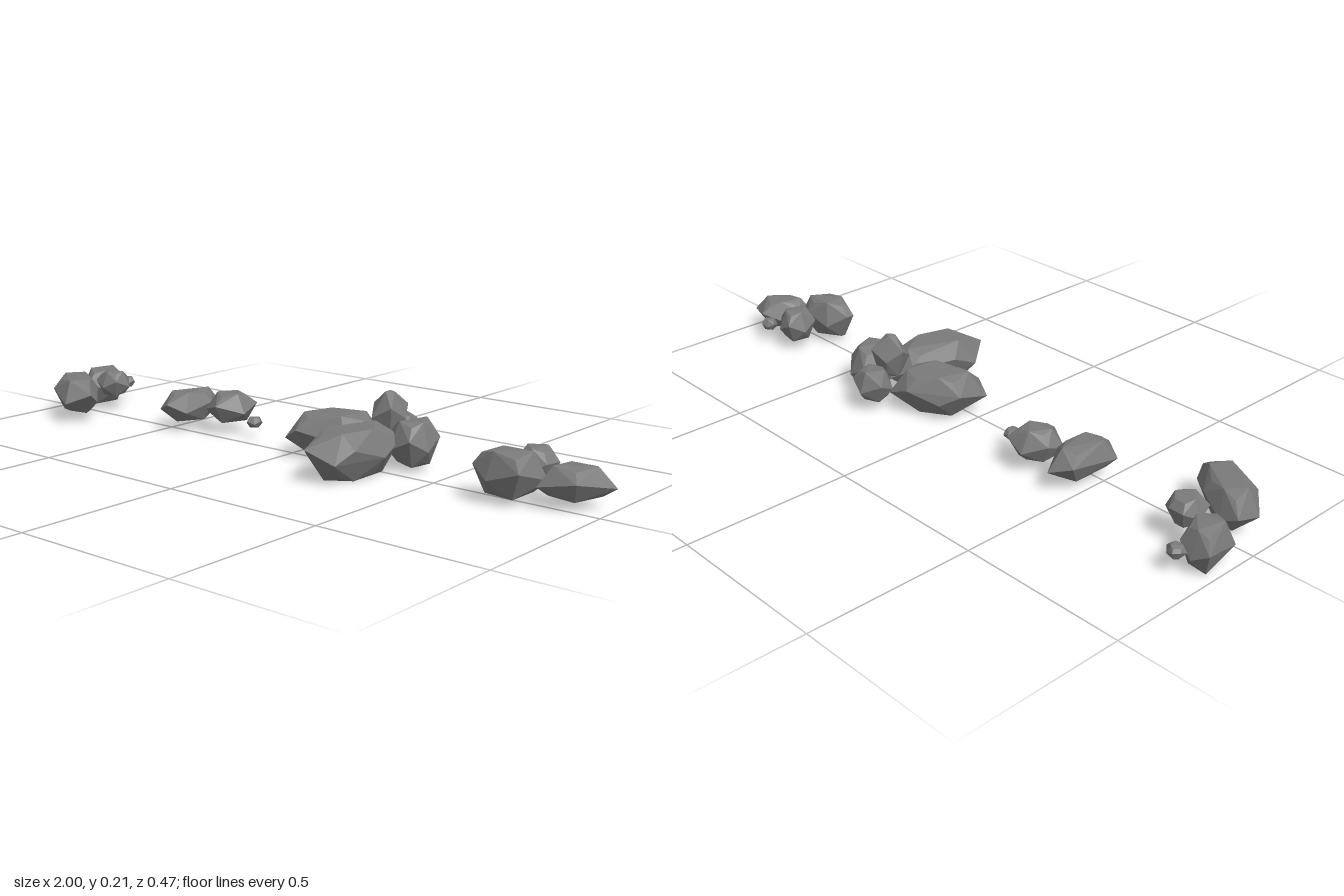
import * as THREE from 'three';
import { ConvexGeometry } from 'three/addons/geometries/ConvexGeometry.js';

const stone = new THREE.MeshStandardMaterial({ color: 0x7a7a7a, flatShading: true });

// Faceted boulder: a zigzag girdle along the plan outline, with smaller crown and base rings.
function rock(name, outline, bottom, top, crown = 0.6, base = 0.6, girdle = 0.5) {
  const n = outline.length, h = top - bottom;
  const cx = outline.reduce((s, p) => s + p[0], 0) / n;
  const cz = outline.reduce((s, p) => s + p[1], 0) / n;
  const points = [];
  outline.forEach(([x, z], i) => {
    const odd = i % 2;
    const ring = (scale, level) => points.push(new THREE.Vector3(
      cx + (x - cx) * scale, bottom + h * level, cz + (z - cz) * scale));
    ring(1, girdle + (odd ? -0.13 : 0.13));
    ring(odd ? crown : crown * 1.12, odd ? 1 : 0.9);
    ring(odd ? base * 1.12 : base, odd ? 0.1 : 0);
  });
  const mesh = new THREE.Mesh(new ConvexGeometry(points), stone);
  mesh.name = name;
  return mesh;
}

// Small roundish stone with a slightly uneven seven-sided outline.
function pebble(name, x, z, r, bottom, top) {
  const outline = [];
  for (let i = 0; i < 7; i++) {
    const a = (i / 7) * Math.PI * 2 + x * 9;
    const k = r * (1 + 0.06 * Math.sin(i * 2.4 + z * 20));
    outline.push([x + Math.cos(a) * k, z + Math.sin(a) * k]);
  }
  return rock(name, outline, bottom, top);
}

function cluster(name, ...rocks) {
  const group = new THREE.Group();
  group.name = name;
  group.add(...rocks);
  return group;
}

export function createModel() {
  const model = new THREE.Group();
  model.name = 'rockClusters';
  model.add(
    // Far right: long boulder with a block and two pebbles behind
    cluster('farRightCluster',
      rock('longBoulder', [[-.96, -.02], [-.9, -.015], [-.81, .03], [-.73, .105],
        [-.72, .14], [-.78, .195], [-.9, .14], [-.96, .07]], .025, .132, .62),
      rock('blockBoulder', [[-1, -.18], [-.95, -.188], [-.9, -.17], [-.865, -.09],
        [-.91, -.02], [-.98, -.05]], .005, .12),
      pebble('smallStone', -.83, -.06, .055, .05, .13),
      pebble('pebble', -.91, -.195, .026, .045, .08)),
    // Low line of stones
    cluster('lowCluster',
      rock('uprightStone', [[-.505, -.13], [-.44, -.16], [-.39, -.07], [-.405, .03],
        [-.46, .06], [-.515, .035]], .028, .12),
      rock('roundStone', [[-.385, -.1], [-.33, -.15], [-.26, -.135], [-.245, -.06],
        [-.31, 0], [-.39, -.04]], .035, .125, .52),
      pebble('pebble', -.205, -.06, .025, .035, .067)),
    // Main pile: two large boulders with stones stacked at the back
    cluster('mainCluster',
      rock('sideBoulder', [[0, -.07], [.05, -.11], [.14, -.157], [.22, -.155],
        [.25, -.06], [.2, .01], [.06, .058], [.005, .04]], .01, .132, .62),
      rock('frontBoulder', [[.22, -.06], [.28, -.1], [.35, -.06], [.375, .05],
        [.355, .16], [.33, .215], [.24, .235], [.185, .16], [.19, .08]], 0, .135, .6, .6, .57),
      rock('leftStone', [[.32, -.17], [.38, -.175], [.43, -.13], [.44, -.06],
        [.41, -.01], [.34, -.01], [.3, -.06]], .015, .142),
      rock('backStone', [[.2, -.2], [.25, -.24], [.31, -.22], [.32, -.16],
        [.27, -.12], [.21, -.15]], .032, .126),
      rock('peakStone', [[.22, -.1], [.25, -.14], [.3, -.155], [.325, -.11],
        [.31, -.06], [.25, -.05]], .08, .207, .27, .6, .55)),
    // Far left: three stones and a pebble
    cluster('farLeftCluster',
      pebble('backStone', .765, -.09, .06, .03, .13),
      rock('frontStone', [[.66, .035], [.7, -.02], [.78, -.035], [.84, -.02],
        [.815, .085], [.72, .088], [.66, .06]], .02, .14, .64),
      rock('pointedStone', [[.83, -.03], [.86, -.09], [.9, -.13], [1, -.088],
        [.945, .025], [.835, .033]], .025, .112, .55),
      pebble('pebble', .855, -.135, .026, .045, .08)));
  return model;
}
